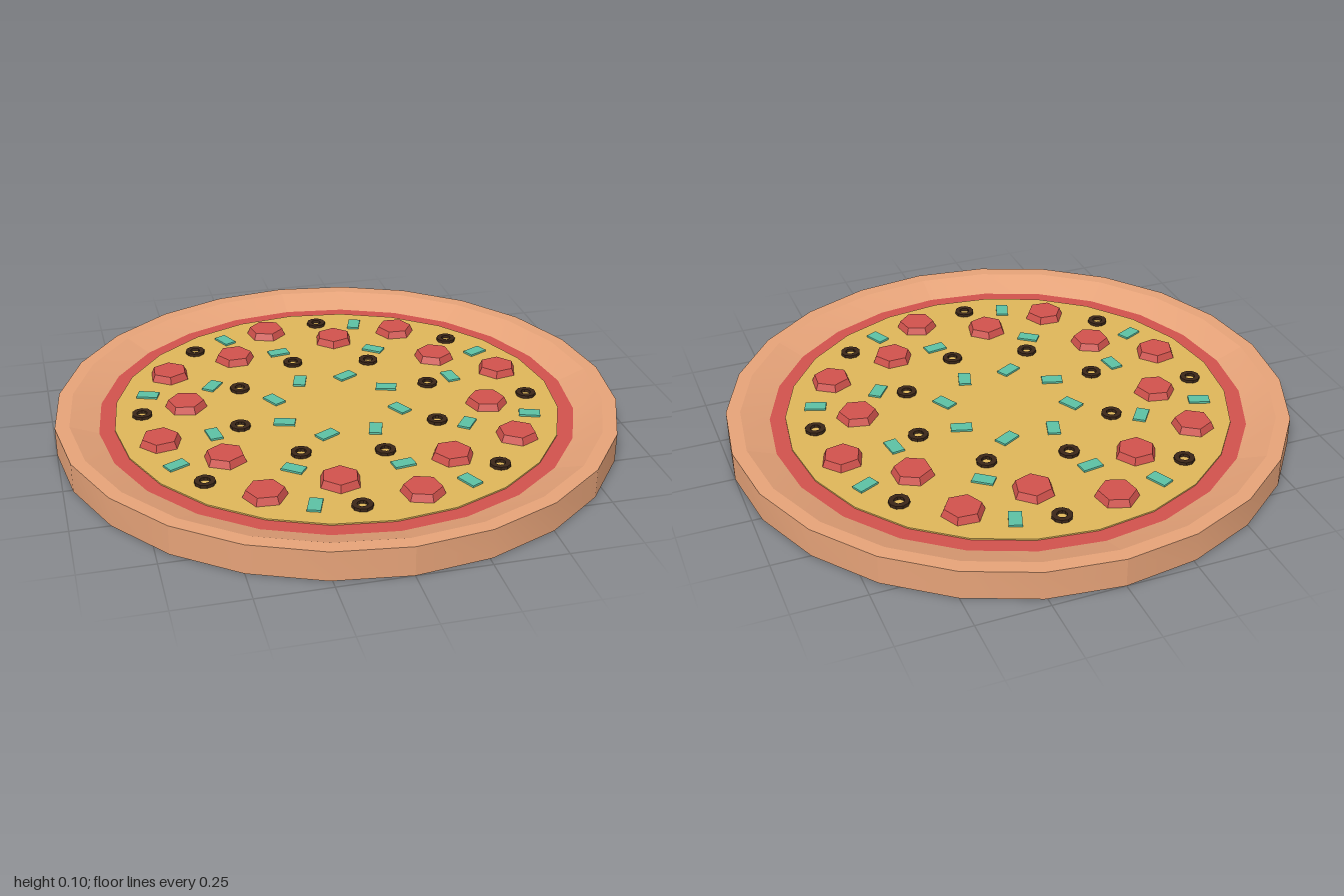
import * as THREE from 'three';

const DEG = Math.PI / 180;
const mat = (color, flatShading = false) => new THREE.MeshStandardMaterial({ color, flatShading });

export function createModel() {
  const pizza = new THREE.Group();
  pizza.name = 'pizza';
  const dough = mat(0xe5a278);
  const sauceRed = mat(0xd0524c);
  const cheeseYellow = mat(0xdeb659);
  const meat = mat(0xd0524c, true);
  const oliveBlack = mat(0x3a2618, true);
  const pepperGreen = mat(0x5cc0a4, true);

  // One eighth of a turned band; computed normals keep each slice separate
  const band = (name, material, profile) => {
    const points = profile.map(([r, y]) => new THREE.Vector2(r, y));
    const geometry = new THREE.LatheGeometry(points, 3, 135 * DEG, 45 * DEG);
    geometry.computeVertexNormals();
    const mesh = new THREE.Mesh(geometry, material);
    mesh.name = name;
    return mesh;
  };

  // Toppings are placed by radius and angle (counter-clockwise from +x, seen from above)
  const topping = (name, geometry, material, r, angle, y, turn) => {
    const mesh = new THREE.Mesh(geometry, material);
    mesh.name = name;
    mesh.position.set(r * Math.cos(angle * DEG), y, -r * Math.sin(angle * DEG));
    mesh.rotation.y = (angle + turn) * DEG;
    return mesh;
  };

  const pepperoniShape = new THREE.CylinderGeometry(0.064, 0.075, 0.026, 6);
  const pepperShape = new THREE.BoxGeometry(0.075, 0.008, 0.045);
  const oliveShape = new THREE.LatheGeometry(
    [[0.018, 0], [0.036, 0], [0.036, 0.012], [0.018, 0.012], [0.018, 0]]
      .map(([r, y]) => new THREE.Vector2(r, y)), 10);

  for (let i = 0; i < 8; i++) {
    const slice = new THREE.Group();
    slice.name = 'slice' + (i + 1);
    slice.rotation.y = i * 45 * DEG;

    // Crust: underside, outer wall, flat rim and inner slope
    slice.add(
      band('crustBottom', dough, [[0, 0], [1, 0]]),
      band('crustWall', dough, [[1, 0], [1, 0.105]]),
      band('crustRim', dough, [[1, 0.105], [0.95, 0.105]]),
      band('crustSlope', dough, [[0.95, 0.105], [0.85, 0.067]]),
      // Sauce ring and the cheese layer on it
      band('sauce', sauceRed, [[0.85, 0.067], [0.795, 0.067]]),
      band('cheeseEdge', cheeseYellow, [[0.795, 0.067], [0.795, 0.072]]),
      band('cheese', cheeseYellow, [[0.795, 0.072], [0, 0.072]]),
    );

    // Toppings
    for (const [r, a] of [[0.665, 56], [0.54, 77.5]])
      slice.add(topping('pepperoni', pepperoniShape, meat, r, a, 0.085, 90));
    for (const [r, a] of [[0.695, 83], [0.375, 57.5]])
      slice.add(topping('oliveRing', oliveShape, oliveBlack, r, a, 0.071, 0));
    for (const [r, a, turn] of [[0.69, 70.5, 0], [0.48, 59, 84], [0.228, 68, -40]])
      slice.add(topping('pepperPiece', pepperShape, pepperGreen, r, a, 0.075, turn));

    pizza.add(slice);
  }
  return pizza;
}
